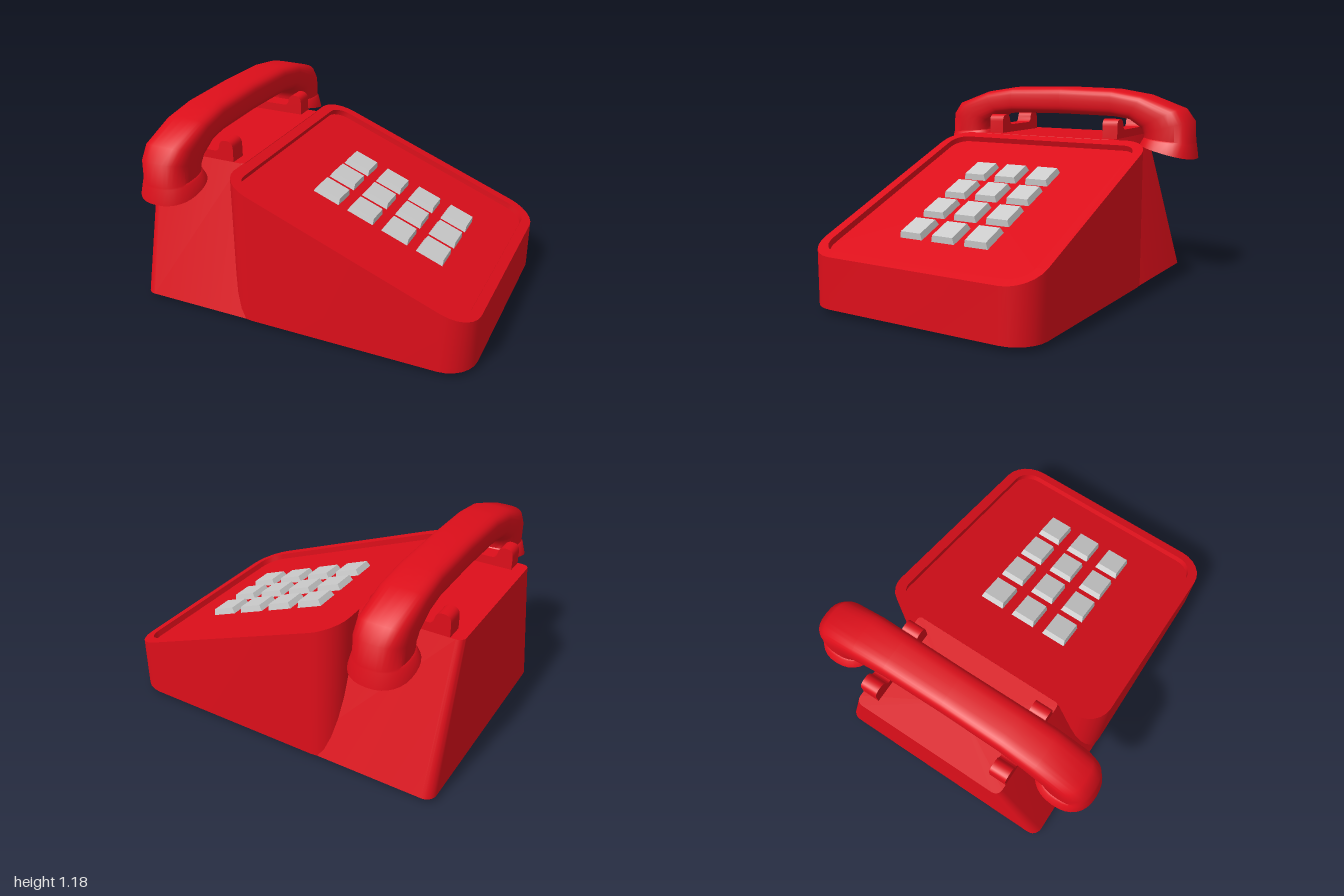
import * as THREE from 'three';
import { toCreasedNormals } from 'three/addons/utils/BufferGeometryUtils.js';

const red = new THREE.MeshStandardMaterial({ color: 0xdd0e1a });
const grey = new THREE.MeshStandardMaterial({ color: 0xcccccc });
const black = new THREE.MeshStandardMaterial({ color: 0x0a0a0a });
const V = (x, y, z) => new THREE.Vector3(x, y, z);

function mesh(name, geometry, material, parent) {
  const m = new THREE.Mesh(geometry, material);
  m.name = name;
  parent.add(m);
  return m;
}

// Skin through rings of equal length, with optional fan caps
function loft(rings, capStart, capEnd, crease = 0.6) {
  const n = rings[0].length, pos = [];
  const tri = (...ps) => ps.forEach(p => pos.push(p.x, p.y, p.z));
  for (let r = 0; r < rings.length - 1; r++) {
    const a = rings[r], b = rings[r + 1];
    for (let i = 0; i < n; i++) {
      const j = (i + 1) % n;
      tri(a[i], a[j], b[j]);
      tri(a[i], b[j], b[i]);
    }
  }
  const cap = (ring, flip) => {
    const c = centre(ring);
    ring.forEach((p, i) => {
      const q = ring[(i + 1) % n];
      flip ? tri(c, q, p) : tri(c, p, q);
    });
  };
  if (capStart) cap(rings[0], true);
  if (capEnd) cap(rings[rings.length - 1], false);
  const g = new THREE.BufferGeometry();
  g.setAttribute('position', new THREE.Float32BufferAttribute(pos, 3));
  return toCreasedNormals(g, crease);
}

function centre(ring) {
  return ring.reduce((s, p) => s.add(p), V(0, 0, 0)).divideScalar(ring.length);
}

// Rounded rectangle in plan, counter-clockwise from above; height(x) sets y
function planRing(x0, x1, hz, rBack, rFront, height) {
  const corners = [[x1, -hz, rFront, 0], [x0, -hz, rBack, 1], [x0, hz, rBack, 2], [x1, hz, rFront, 3]];
  const ring = [];
  for (const [x, z, r, q] of corners) {
    for (let i = 0; i <= 6; i++) {
      const t = (q + i / 6) * Math.PI / 2;
      const px = x - Math.sign(x - (x0 + x1) / 2) * r + Math.cos(t) * r;
      const pz = z - Math.sign(z) * r - Math.sin(t) * r;
      ring.push(V(px, height(px), pz));
    }
  }
  return ring;
}

const SLOPE = 0.391, TILT = Math.atan(SLOPE), DEPTH = 0.035;
const slopeY = x => 0.875 - SLOPE * (x + 0.42);
const normal = V(Math.sin(TILT), Math.cos(TILT), 0);

function buildBody(group) {
  // Sloped housing with a recessed keypad panel
  const inner = planRing(-0.36, 0.945, 0.645, 0.09, 0.11, slopeY);
  const floor = inner.map(p => p.clone().addScaledVector(normal, -DEPTH));
  mesh('slopedHousing', loft([
    planRing(-0.42, 1, 0.705, 0.15, 0.17, () => 0.03),
    planRing(-0.42, 1, 0.705, 0.15, 0.17, slopeY),
    inner, floor
  ], true, true), red, group);

  // Tapered block under the handset
  mesh('cradleBase', loft([
    planRing(-1, -0.15, 0.7, 0.06, 0.02, () => 0.03),
    planRing(-1, -0.415, 0.46, 0.04, 0.02, () => 0.875)
  ], true, true), red, group);

  // Feet
  for (const x of [-0.77, 0.77]) for (const z of [-0.515, 0.515]) {
    mesh('foot', new THREE.CylinderGeometry(0.118, 0.118, 0.04, 32), black, group).position.set(x, 0.02, z);
  }
}

function buildKeys(group) {
  // Key with sides narrowing toward the top
  const key = new THREE.BoxGeometry(0.168, 0.038, 0.148);
  const p = key.attributes.position;
  for (let i = 0; i < p.count; i++) {
    if (p.getY(i) > 0) p.setXYZ(i, p.getX(i) * 0.88, p.getY(i), p.getZ(i) * 0.88);
  }
  key.computeVertexNormals();
  for (let c = 0; c < 4; c++) for (const z of [-0.21, 0, 0.21]) {
    const x = 0.015 + c * 0.207;
    const k = mesh('key', key, grey, group);
    k.position.set(x, slopeY(x), z).addScaledVector(normal, -0.018);
    k.rotation.z = -TILT;
  }
}

function buildCradleRests(group) {
  // Forked rests with rounded prongs
  const s = new THREE.Shape();
  s.moveTo(-0.225, 0.84);
  s.lineTo(0.225, 0.84);
  s.lineTo(0.225, 0.95);
  s.quadraticCurveTo(0.225, 0.995, 0.18, 0.995);
  s.quadraticCurveTo(0.14, 0.995, 0.135, 0.95);
  s.quadraticCurveTo(0.13, 0.925, 0.1, 0.925);
  s.lineTo(-0.1, 0.925);
  s.quadraticCurveTo(-0.13, 0.925, -0.135, 0.95);
  s.quadraticCurveTo(-0.14, 0.995, -0.18, 0.995);
  s.quadraticCurveTo(-0.225, 0.995, -0.225, 0.95);
  const g = toCreasedNormals(new THREE.ExtrudeGeometry(s, { depth: 0.1, bevelEnabled: false, curveSegments: 6 }), 0.7);
  for (const z of [-0.46, 0.36]) mesh('cradleRest', g, red, group).position.set(-0.705, 0, z);
}

function buildHandset(group) {
  const handset = new THREE.Group();
  handset.name = 'handset';
  handset.position.x = -0.705;
  group.add(handset);

  // Half sections: top z, top y, bottom z, bottom y, half width, squareness
  const half = [
    [0, 1.18, 0, 1.005, 0.122, 3.6],
    [0.36, 1.172, 0.36, 1.0, 0.125, 3.6],
    [0.57, 1.14, 0.47, 0.985, 0.132, 3.4],
    [0.8, 1.06, 0.545, 0.935, 0.137, 3],
    [0.86, 0.985, 0.56, 0.9, 0.138, 2.7],
    [0.87, 0.855, 0.56, 0.88, 0.138, 2.5],
    [0.873, 0.845, 0.555, 0.875, 0.148, 2.4],
    [0.885, 0.757, 0.535, 0.84, 0.17, 2.3]
  ];
  const section = ([tz, ty, bz, by, w, e], side) => {
    const ring = [];
    for (let i = 0; i < 32; i++) {
      const t = i / 32 * Math.PI * 2;
      const f = v => Math.sign(v) * Math.abs(v) ** (2 / e);
      const c = f(Math.cos(t)), u = f(Math.sin(t));
      ring.push(V(c * w, (ty + by) / 2 + u * (ty - by) / 2, side * ((tz + bz) / 2 + u * (tz - bz) / 2)));
    }
    return ring;
  };
  const inset = (ring, k, dy = 0) => {
    const c = centre(ring);
    return ring.map(p => p.clone().sub(c).multiplyScalar(k).add(c).add(V(0, dy, 0)));
  };
  const right = half.map(h => section(h, 1));
  const left = half.slice(1).reverse().map(h => section(h, -1));
  const rim = right[right.length - 1];
  mesh('handle', loft([inset(left[0], 0.88), ...left, ...right, inset(rim, 0.88)], false, false, 0.75), red, handset);

  // Dark hollows in the earpiece and mouthpiece
  const hollow = loft([inset(rim, 0.88), inset(rim, 0.7, 0.03)], false, true);
  mesh('mouthpiece', hollow, black, handset);
  mesh('earpiece', hollow, black, handset).rotation.y = Math.PI;
}

export function createModel() {
  const group = new THREE.Group();
  group.name = 'telephone';
  buildBody(group);
  buildKeys(group);
  buildCradleRests(group);
  buildHandset(group);
  return group;
}
